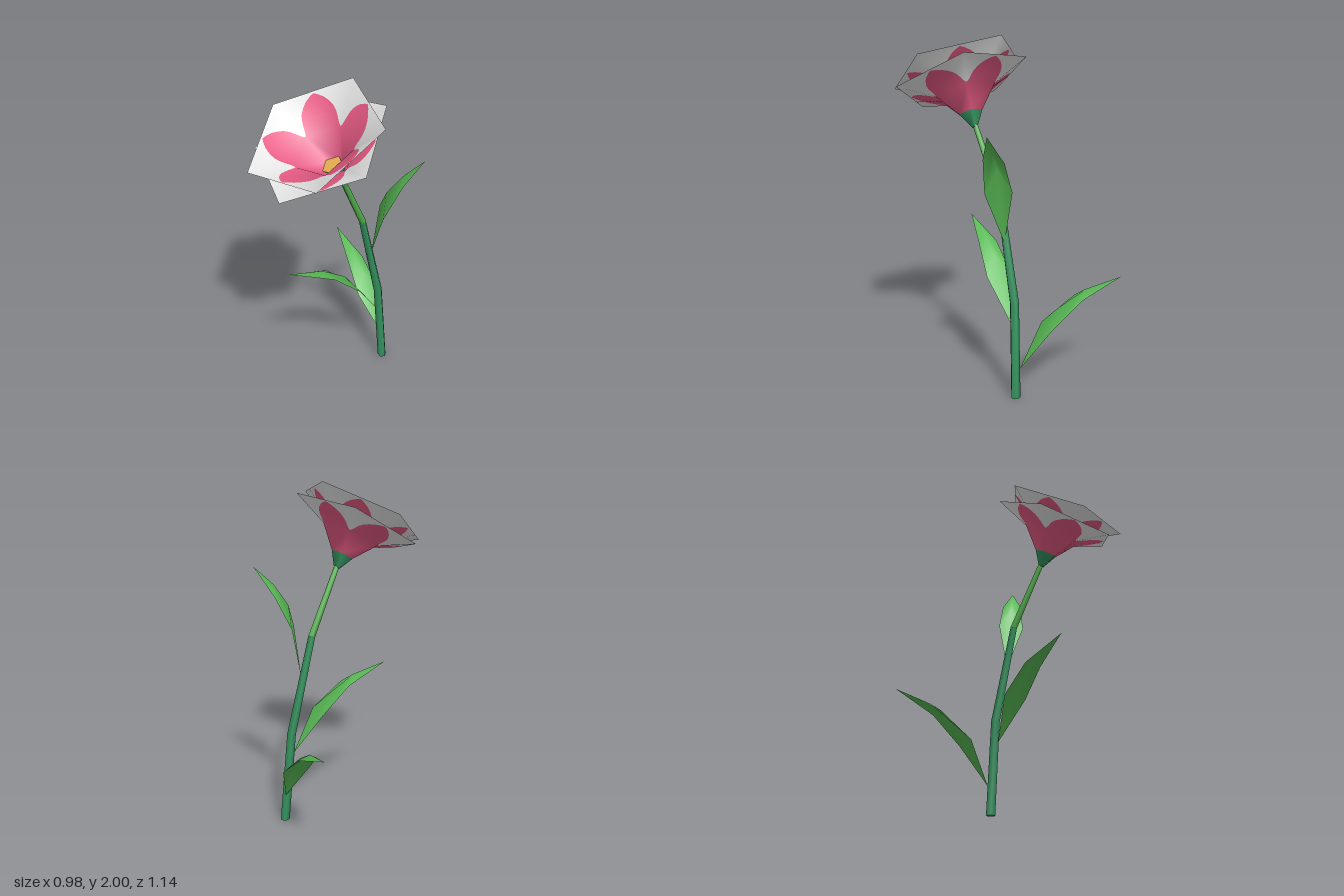
import * as THREE from 'three';

const mat = (name, color, side = THREE.FrontSide) => {
  const m = new THREE.MeshStandardMaterial({ color, side });
  m.name = name;
  return m;
};
const V = (a) => new THREE.Vector3(...a);

function mesh(name, geometry, material) {
  const m = new THREE.Mesh(geometry, material);
  m.name = name;
  return m;
}

function indexed(points, index, normals) {
  const g = new THREE.BufferGeometry();
  g.setAttribute('position', new THREE.Float32BufferAttribute(points.flatMap((p) => p.toArray()), 3));
  g.setIndex(index);
  if (normals) g.setAttribute('normal', new THREE.Float32BufferAttribute(normals.flatMap((p) => p.toArray()), 3));
  else g.computeVertexNormals();
  return g;
}

// five-sided tube through rings of { p, r, axis }
function loft(rings, sides = 5) {
  const pts = [], idx = [];
  rings.forEach(({ p, r, axis }, i) => {
    const e1 = new THREE.Vector3(1, 0, 0).addScaledVector(axis, -axis.x).normalize();
    const e2 = axis.clone().cross(e1);
    for (let k = 0; k < sides; k++) {
      const t = (k / sides) * Math.PI * 2;
      pts.push(p.clone().addScaledVector(e1, r * Math.cos(t)).addScaledVector(e2, r * Math.sin(t)));
      if (i > 0) {
        const a = (i - 1) * sides + k, b = (i - 1) * sides + ((k + 1) % sides);
        idx.push(a, b, b + sides, a, b + sides, a + sides);
      }
    }
  });
  return indexed(pts, idx);
}

// folded blade: two edge points per side, two spine points, pointed at both ends
function leaf({ base, tip, left, right, spine }) {
  const pts = [base, ...left, ...right, ...spine, tip].map(V);
  return indexed(pts, [
    0, 1, 5, 1, 6, 5, 1, 2, 6, 2, 7, 6,
    0, 5, 3, 3, 5, 6, 3, 6, 4, 4, 6, 7,
  ]);
}

// width of the painted petal, as a share of its sector, by height along the cup
const PETAL = [[0, 1], [0.5, 1], [0.53, 0.9], [0.57, 0.81], [0.63, 0.73], [0.7, 0.64],
  [0.77, 0.53], [0.84, 0.39], [0.9, 0.25], [0.95, 0.1], [0.975, 0], [1, 0]];

// one flared five-cornered cup; profile is three [radius, height] rings
function petalLayer(name, profile, turn, white, pink) {
  const group = new THREE.Group();
  group.name = name;
  const seg = [0, 1].map((i) => new THREE.Vector2(
    profile[i + 1][1] - profile[i][1], profile[i][0] - profile[i + 1][0]).normalize());
  const ringNormals = [seg[0], seg[0].clone().add(seg[1]).normalize(), seg[1]];
  const corner = (k, v) => {
    const t = turn + (k / 5) * Math.PI * 2, i = v < 0.5 ? 0 : 1, f = v * 2 - i;
    const r = THREE.MathUtils.lerp(profile[i][0], profile[i + 1][0], f);
    const h = THREE.MathUtils.lerp(profile[i][1], profile[i + 1][1], f);
    const n = ringNormals[i].clone().lerp(ringNormals[i + 1], f);
    const c = Math.cos(t), s = -Math.sin(t);
    return { p: new THREE.Vector3(r * c, h, r * s), n: new THREE.Vector3(n.x * c, n.y, n.x * s) };
  };
  const strip = (sideOf) => {
    const pts = [], normals = [], idx = [];
    for (let k = 0; k < 5; k++) {
      for (const range of sideOf) {
        const start = pts.length;
        PETAL.forEach(([v, w], row) => {
          const a = corner(k, v), b = corner(k + 1, v);
          for (const u of range(w)) {
            pts.push(a.p.clone().lerp(b.p, u));
            normals.push(a.n.clone().lerp(b.n, u).normalize());
          }
          if (row > 0) {
            const q = start + (row - 1) * 2;
            idx.push(q, q + 1, q + 3, q, q + 3, q + 2);
          }
        });
      }
    }
    return indexed(pts, idx, normals);
  };
  group.add(
    mesh('petalPaint', strip([(w) => [0.5 - w / 2, 0.5 + w / 2]]), pink),
    mesh('petalRim', strip([(w) => [0, 0.5 - w / 2], (w) => [0.5 + w / 2, 1]]), white),
  );
  return group;
}

export function createModel() {
  const stemGreen = mat('stem green', 0x359460);
  const shootGreen = mat('shoot green', 0x56b450);
  const leafGreen = mat('leaf green', 0x58b854, THREE.DoubleSide);
  const white = mat('petal white', 0xf0f0f0, THREE.DoubleSide);
  const pink = mat('petal pink', 0xea5c86, THREE.DoubleSide);
  const yellow = mat('centre yellow', 0xe2ac50, THREE.DoubleSide);

  const model = new THREE.Group();
  model.name = 'flower';

  // stem
  const path = [[0.41, 0, 0.07], [0.36, 0.55, 0.06], [0.21, 1.12, 0.085], [0.01, 1.51, 0.155]].map(V);
  const radii = [0.028, 0.027, 0.021, 0.016];
  const rings = path.map((p, i) => ({
    p, r: radii[i],
    axis: i === 0 ? new THREE.Vector3(0, 1, 0)
      : path[Math.min(i + 1, 3)].clone().sub(path[i - 1]).normalize(),
  }));
  model.add(mesh('stem', loft(rings.slice(0, 3)), stemGreen));
  model.add(mesh('upperStem', loft(rings.slice(2)), shootGreen));
  const foot = mesh('stemFoot', new THREE.CircleGeometry(radii[0], 5).rotateX(Math.PI / 2), stemGreen);
  foot.position.copy(path[0]);
  model.add(foot);

  // leaves
  const leaves = {
    backLeaf: {
      base: [0.41, 0.17, 0.045], tip: [0.437, 0.645, -0.575],
      left: [[0.485, 0.4, -0.11], [0.473, 0.55, -0.304]],
      right: [[0.333, 0.4, -0.124], [0.366, 0.55, -0.316]],
      spine: [[0.412, 0.505, -0.19], [0.423, 0.597, -0.355]],
    },
    rightLeaf: {
      base: [0.345, 0.42, 0.07], tip: [-0.27, 0.905, 0.075],
      left: [[0.18, 0.655, 0], [0, 0.805, 0.02]],
      right: [[0.18, 0.655, 0.15], [0, 0.805, 0.13]],
      spine: [[0.1, 0.76, 0.075], [-0.055, 0.855, 0.075]],
    },
    leftLeaf: {
      base: [0.28, 0.88, 0.085], tip: [0.485, 1.52, 0.268],
      left: [[0.34, 1.18, 0.065], [0.41, 1.36, 0.14]],
      right: [[0.273, 1.17, 0.2], [0.366, 1.38, 0.245]],
      spine: [[0.325, 1.305, 0.145], [0.39, 1.42, 0.2]],
    },
  };
  for (const [name, data] of Object.entries(leaves)) model.add(mesh(name, leaf(data), leafGreen));

  // flower head, built upright and then tilted onto the stem
  const head = new THREE.Group();
  head.name = 'flowerHead';
  const calyx = new THREE.CylinderGeometry(0.076, 0.017, 0.095, 5, 1, false, Math.PI / 2 + Math.PI / 5);
  calyx.translate(0, 0.0475, 0);
  head.add(mesh('calyx', calyx, stemGreen));
  head.add(mesh('flowerCentre', new THREE.CircleGeometry(0.062, 5).rotateX(-Math.PI / 2).translate(0, 0.115, 0), yellow));
  head.add(petalLayer('outerPetals', [[0.07, 0.085], [0.178, 0.205], [0.39, 0.29]], Math.PI / 5, white, pink));
  head.add(petalLayer('innerPetals', [[0.055, 0.1], [0.17, 0.235], [0.39, 0.367]], 0, white, pink));
  const up = new THREE.Vector3(-0.49, 0.865, 0.087).normalize();
  const side = new THREE.Vector3(0.312, 0.19, -0.138);
  side.addScaledVector(up, -side.dot(up)).normalize();
  head.quaternion.setFromRotationMatrix(new THREE.Matrix4().makeBasis(side, up, side.clone().cross(up)));
  head.position.set(0.015, 1.49, 0.155);
  model.add(head);

  return model;
}
